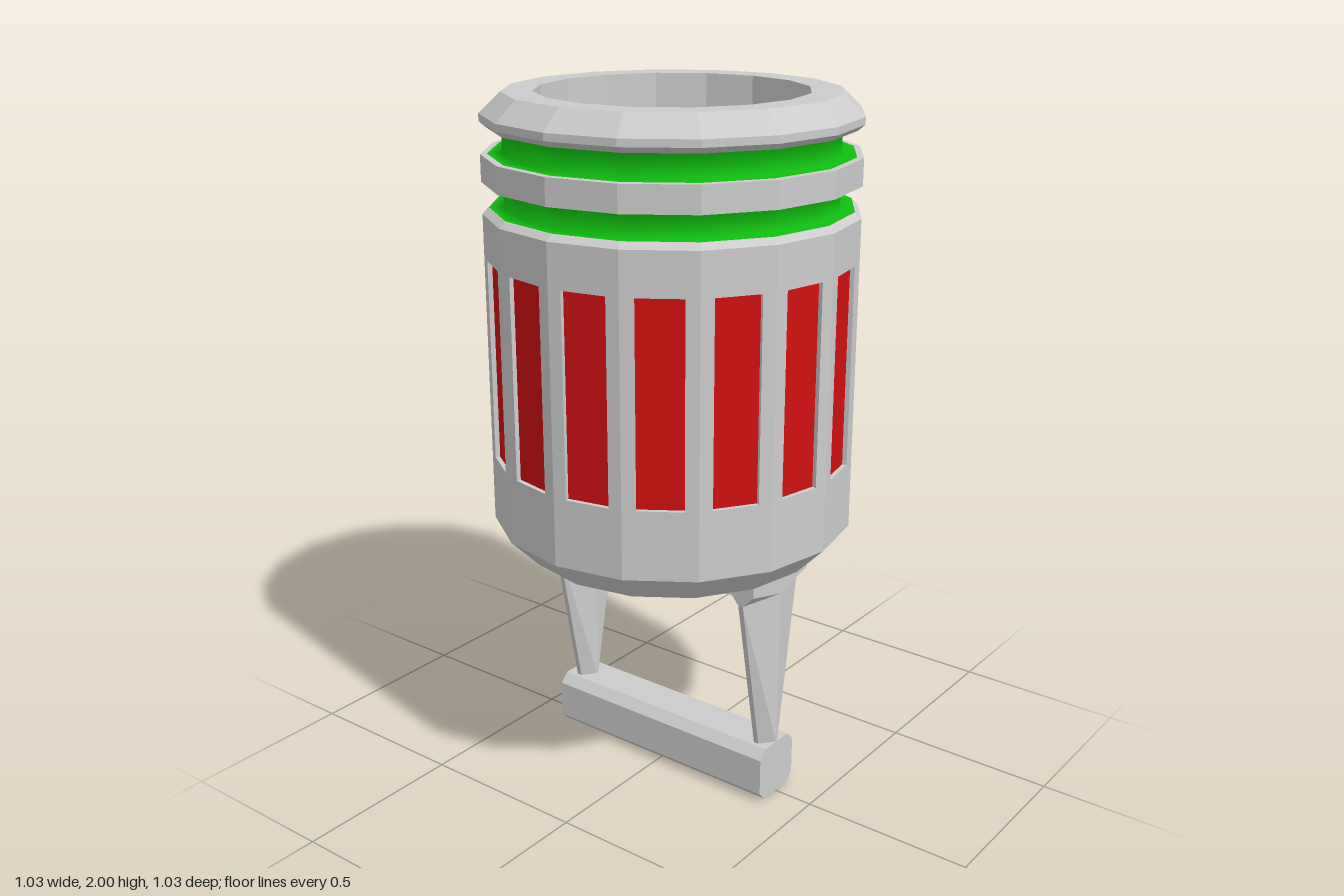
import * as THREE from 'three';
import { ConvexGeometry } from 'three/addons/geometries/ConvexGeometry.js';

const SIDES = 16;
const R = 0.513;        // corner radius of the barrel
const GROOVE = 0.455;   // corner radius inside the grooves
const INSET = 0.014;    // depth of the panel recesses

const grey = new THREE.MeshStandardMaterial({ color: 0xcccccc, flatShading: true });
const red = new THREE.MeshStandardMaterial({ color: 0xd01010 });
const green = new THREE.MeshStandardMaterial({ color: 0x10c010 });

function add(parent, name, geometry, material = grey) {
  const mesh = new THREE.Mesh(geometry, material);
  mesh.name = name;
  parent.add(mesh);
  return mesh;
}

// Sixteen-sided turned part; the profile runs bottom to top as [radius, y]
const turned = (profile) =>
  new THREE.LatheGeometry(profile.map(([r, y]) => new THREE.Vector2(r, y)), SIDES);

const hull = (points) => new ConvexGeometry(points.map((p) => new THREE.Vector3(...p)));

function rectangle(Type, w, y0, y1) {
  const path = new Type();
  path.moveTo(-w, y0);
  path.lineTo(w, y0);
  path.lineTo(w, y1);
  path.lineTo(-w, y1);
  path.closePath();
  return path;
}

function createBarrel() {
  const barrel = new THREE.Group();
  barrel.name = 'barrel';

  add(barrel, 'barrelBase', turned([[0, 0.72], [0.43, 0.72], [R, 0.805]]));
  add(barrel, 'barrelShoulder', turned([[R, 1.68], [0.495, 1.695], [GROOVE, 1.695]]));

  // Wall facets, each with a window and a recessed panel
  const apothem = R * Math.cos(Math.PI / SIDES);
  const wall = rectangle(THREE.Shape, R * Math.sin(Math.PI / SIDES), 0.805, 1.68);
  wall.holes.push(rectangle(THREE.Path, 0.063, 1.0, 1.56));
  const wallGeometry = new THREE.ExtrudeGeometry(wall, { depth: INSET, bevelEnabled: false });
  wallGeometry.translate(0, 0, apothem - INSET);
  const panelGeometry = new THREE.PlaneGeometry(0.126, 0.56);
  panelGeometry.translate(0, 1.28, apothem - INSET + 0.001);
  for (let i = 0; i < SIDES; i++) {
    const angle = ((i + 0.5) / SIDES) * Math.PI * 2;
    add(barrel, 'wallFacet', wallGeometry).rotation.y = angle;
    add(barrel, 'panel', panelGeometry, red).rotation.y = angle;
  }
  return barrel;
}

function createCap() {
  const cap = new THREE.Group();
  cap.name = 'cap';
  // Coloured grooves, including their upper and lower ledges
  for (const [y0, y1] of [[1.697, 1.765], [1.84, 1.91]]) {
    add(cap, 'groove', turned([[0.495, y0], [GROOVE, y0], [GROOVE, y1], [0.495, y1]]), green);
  }
  add(cap, 'middleRing', turned([[GROOVE, 1.766], [R, 1.766], [R, 1.839], [GROOVE, 1.839]]));
  // Rim with the open cup inside it
  add(cap, 'rimAndCup', turned([
    [GROOVE, 1.909], [0.495, 1.909], [R, 1.925], [R, 1.945],
    [GROOVE, 2.0], [0.37, 2.0], [0.37, 1.7], [0, 1.7],
  ]));
  return cap;
}

function createHandle() {
  const handle = new THREE.Group();
  handle.name = 'handle';

  // Mounting plate with a V-shaped underside
  const plate = [];
  for (const z of [-0.38, 0.38]) {
    plate.push([0, 0.64, z]);
    for (const x of [-0.135, 0.135]) plate.push([x, 0.725, z], [x, 0.675, z]);
  }
  add(handle, 'mountingPlate', hull(plate));

  // Tapered legs with a ridge on the outer and inner faces
  for (const s of [1, -1]) {
    const leg = [];
    for (const [w, y] of [[0.135, 0.64], [0.042, 0.155]]) {
      leg.push([0, y, s * 0.38], [0, y, s * 0.3]);
      for (const x of [-w, w]) leg.push([x, y, s * 0.345], [x, y, s * 0.33]);
    }
    add(handle, 'leg', hull(leg));
    // Gusset joining the leg to the plate
    const gusset = [[0, 0.64, s * 0.38], [0, 0.64, s * 0.3]];
    for (const x of [-0.135, 0.135]) {
      gusset.push([x, 0.675, s * 0.38], [x, 0.675, s * 0.3], [x, 0.64, s * 0.345], [x, 0.64, s * 0.33]);
    }
    add(handle, 'gusset', hull(gusset));
  }

  // Grip bar with chamfered long edges
  const bar = [];
  for (const z of [-0.38, 0.38]) {
    for (const s of [-1, 1]) {
      bar.push([s * 0.083, 0.027, z], [s * 0.083, 0.138, z], [s * 0.056, 0, z], [s * 0.056, 0.165, z]);
    }
  }
  add(handle, 'gripBar', hull(bar));
  return handle;
}

export function createModel() {
  const model = new THREE.Group();
  model.name = 'canister';
  model.add(createBarrel(), createCap(), createHandle());
  return model;
}
